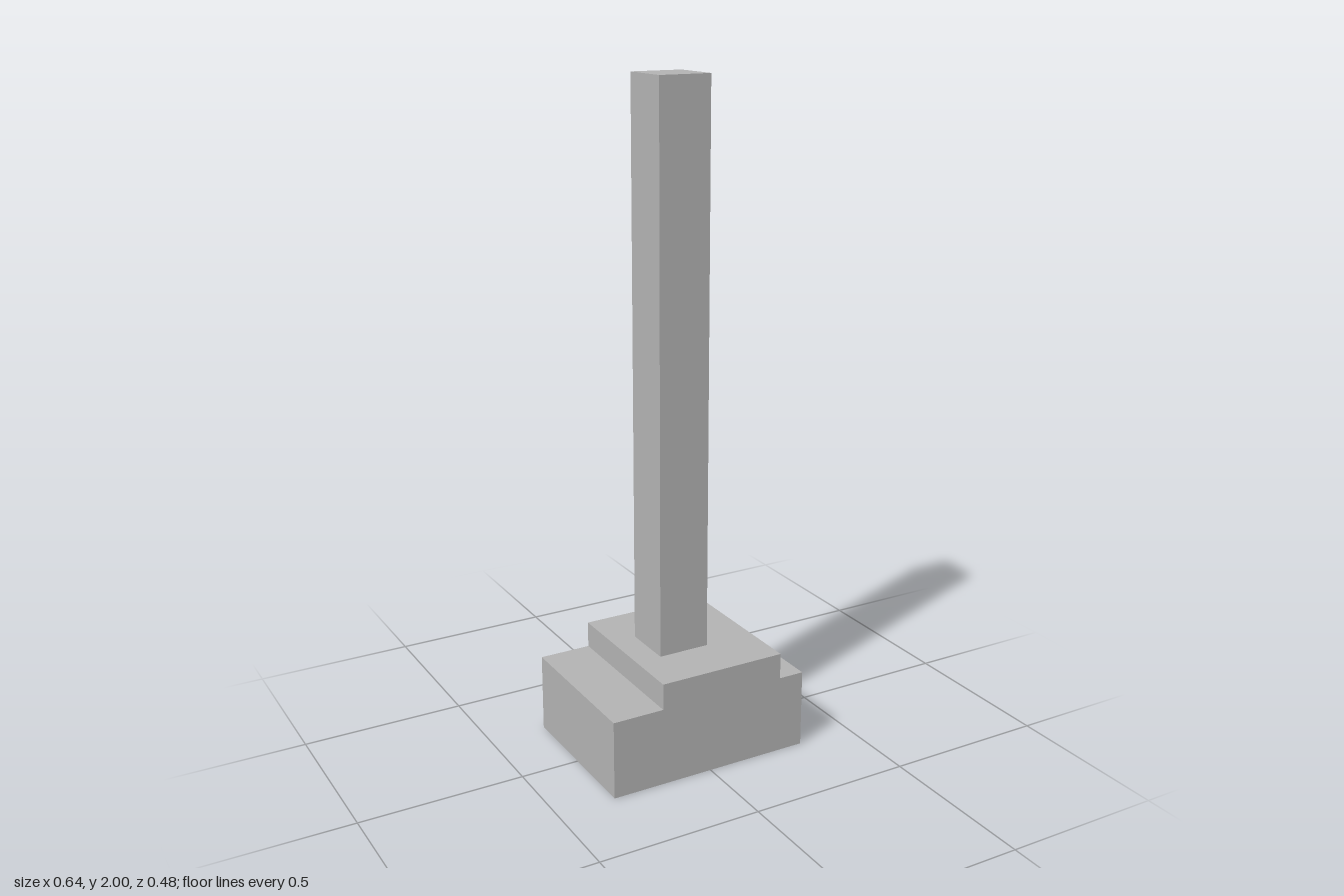
import * as THREE from 'three';

export function createModel() {
  const model = new THREE.Group();
  const grey = new THREE.MeshStandardMaterial({ color: 0xb2b2b2 });
  grey.name = 'grey';

  // Block with an off-centre raised step, extruded from its front outline
  const outline = [
    [-0.32, 0], [0.32, 0], [0.32, 0.24], [0.24, 0.24],
    [0.24, 0.32], [-0.16, 0.32], [-0.16, 0.24], [-0.32, 0.24],
  ].map(([x, y]) => new THREE.Vector2(x, y));
  const depth = 0.48;
  const blockGeometry = new THREE.ExtrudeGeometry(new THREE.Shape(outline), { depth, bevelEnabled: false });
  blockGeometry.translate(0, 0, -depth / 2);
  const block = new THREE.Mesh(blockGeometry, grey);
  block.name = 'steppedBlock';
  model.add(block);

  // Square shaft standing on the step
  const shaft = new THREE.Mesh(new THREE.BoxGeometry(0.16, 1.68, 0.16), grey);
  shaft.name = 'shaft';
  shaft.position.y = 0.32 + 1.68 / 2;
  model.add(shaft);

  return model;
}
